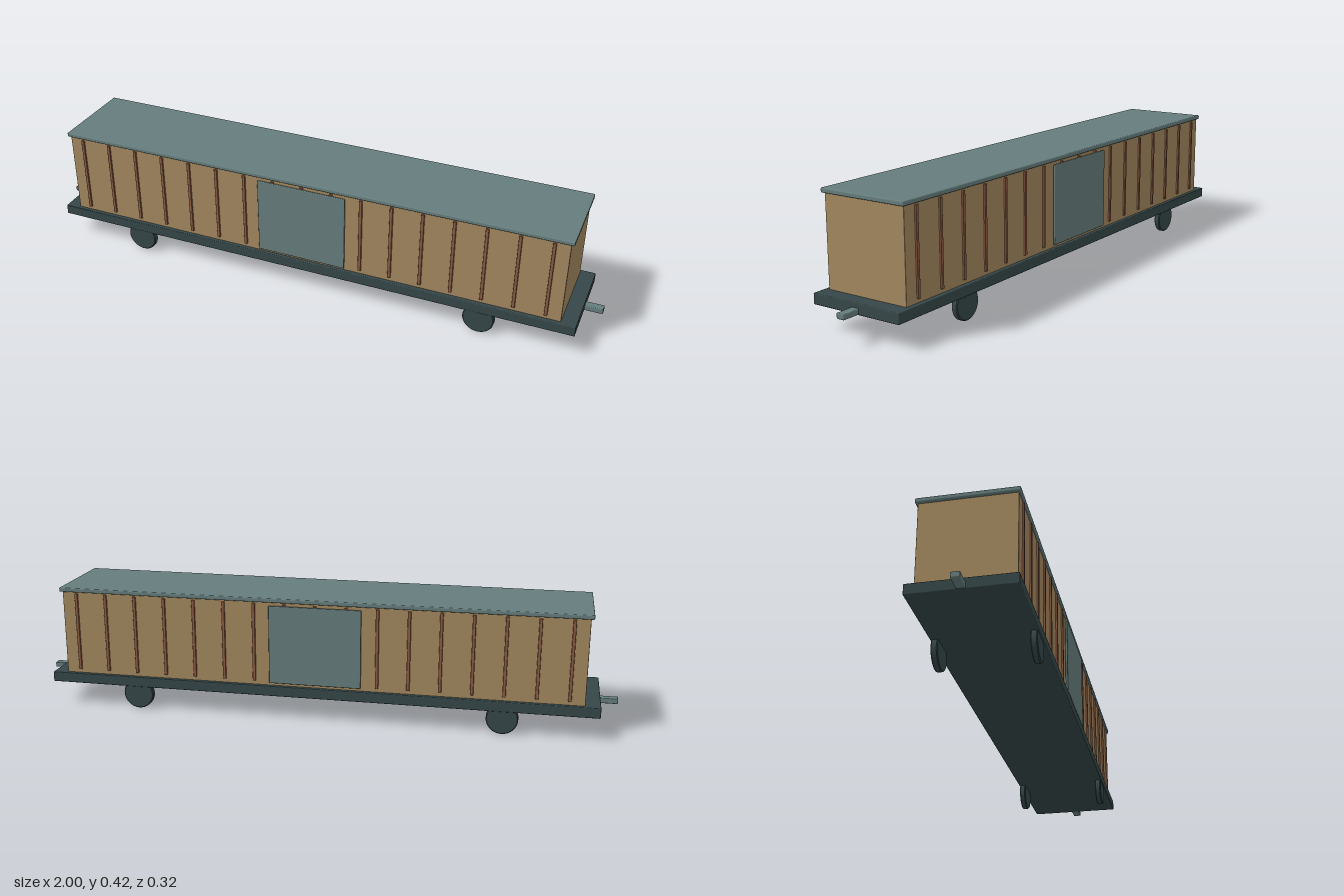
import * as THREE from 'three';
import { RoundedBoxGeometry } from 'three/addons/geometries/RoundedBoxGeometry.js';

const material = (name, color) => {
  const m = new THREE.MeshStandardMaterial({ color });
  m.name = name;
  return m;
};

export function createModel() {
  const car = new THREE.Group();
  car.name = 'freightCar';
  const wood = material('tan wood', 0xa3885f);
  const trim = material('brown trim', 0x8a5a42);
  const steel = material('grey green steel', 0x667d7d);
  const iron = material('dark iron', 0x364749);

  const add = (name, geometry, mat, x, y, z) => {
    const mesh = new THREE.Mesh(geometry, mat);
    mesh.name = name;
    mesh.position.set(x, y, z);
    car.add(mesh);
    return mesh;
  };
  // Softly bevelled box given by its size and centre
  const box = (name, mat, w, h, d, x, y, z, r = 0.003) =>
    add(name, new RoundedBoxGeometry(w, h, d, 2, r), mat, x, y, z);

  // Underframe, cargo body and roof
  box('chassis', iron, 1.88, 0.035, 0.324, 0, 0.0975, 0);
  box('body', wood, 1.78, 0.296, 0.296, 0, 0.26, 0, 0.002);
  box('roof', steel, 1.8, 0.015, 0.31, 0, 0.4125, 0, 0.004);

  // Wheel with slightly rounded rim, turned to roll along x
  const r = 0.053, half = 0.0105, b = 0.003;
  const wheelGeometry = new THREE.LatheGeometry([
    [0, -half], [r - b, -half], [r - b, -half], [r, b - half], [r, b - half],
    [r, half - b], [r, half - b], [r - b, half], [r - b, half], [0, half],
  ].map(([x, y]) => new THREE.Vector2(x, y)), 32);
  wheelGeometry.rotateX(Math.PI / 2);

  for (const side of [1, -1]) {
    // Upright battens along each wall
    for (let i = -8; i <= 8; i++) {
      box('batten', trim, 0.011, 0.272, 0.01, i * 0.105, 0.264, side * 0.149, 0.002);
    }
    // Sliding door
    box('slidingDoor', steel, 0.314, 0.27, 0.008, 0, 0.26, side * 0.1545, 0.003);
    // Wheels
    for (const x of [-0.627, 0.627]) add('wheel', wheelGeometry, iron, x, 0.0545, side * 0.1475);
    // Coupler at each end
    box('coupler', steel, 0.08, 0.018, 0.028, side * 0.96, 0.091, 0);
  }
  return car;
}
